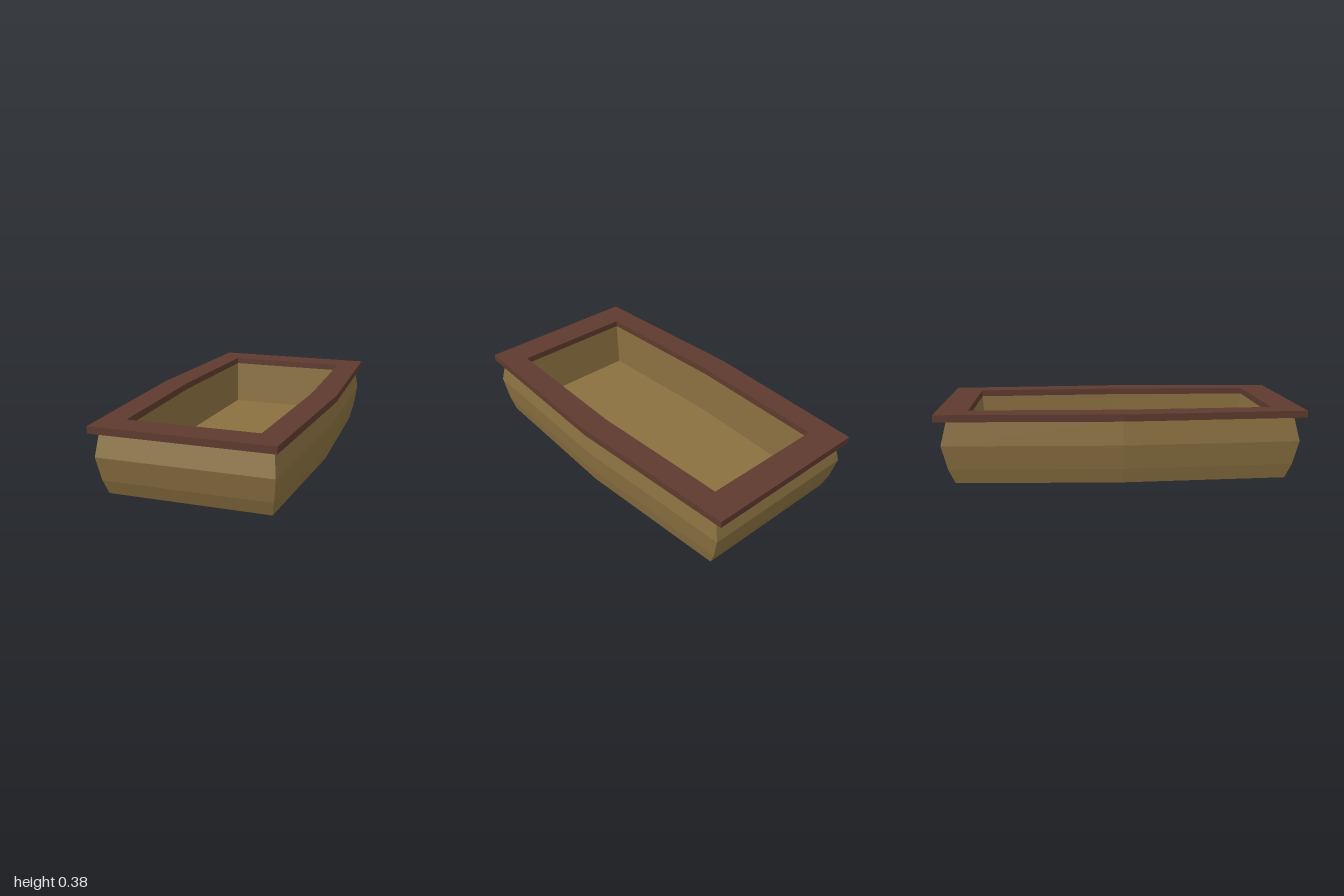
import * as THREE from 'three';

// Six-sided plan: half width at the ends, half width at the middle, half length, height
const hexRing = ([end, mid, len, y]) => [
  [mid, y, 0], [end, y, -len], [-end, y, -len],
  [-mid, y, 0], [-end, y, len], [end, y, len],
];

// Skins a list of levels; capped closes both ends, otherwise the last level joins the first
function loft(levels, capped) {
  const rings = levels.map(hexRing);
  const pos = [];
  const tri = (a, b, c) => pos.push(...a, ...b, ...c);
  const steps = capped ? rings.length - 1 : rings.length;
  for (let k = 0; k < steps; k++) {
    const lo = rings[k], hi = rings[(k + 1) % rings.length];
    for (let i = 0; i < 6; i++) {
      const j = (i + 1) % 6;
      tri(lo[i], lo[j], hi[j]);
      tri(lo[i], hi[j], hi[i]);
    }
  }
  if (capped) {
    const first = rings[0], last = rings[rings.length - 1];
    for (let i = 1; i < 5; i++) {
      tri(first[0], first[i + 1], first[i]);
      tri(last[0], last[i], last[i + 1]);
    }
  }
  const geo = new THREE.BufferGeometry();
  geo.setAttribute('position', new THREE.Float32BufferAttribute(pos, 3));
  geo.computeVertexNormals();
  return geo;
}

function part(name, geo, color) {
  const mesh = new THREE.Mesh(geo, new THREE.MeshStandardMaterial({ color, flatShading: true }));
  mesh.name = name;
  return mesh;
}

export function createModel() {
  const group = new THREE.Group();
  group.name = 'trough';

  // Basin: bulging outer wall, top lip, inner wall down to the floor
  group.add(part('basin', loft([
    [0.44, 0.484, 0.9, 0],
    [0.457, 0.502, 0.935, 0.08],
    [0.474, 0.52, 0.967, 0.212],
    [0.458, 0.503, 0.935, 0.346],
    [0.36, 0.39, 0.83, 0.346],
    [0.356, 0.386, 0.812, 0.08],
  ], true), 0x8a7040));

  // Rim: flat overhanging frame
  group.add(part('rim', loft([
    [0.49, 0.538, 1, 0.345],
    [0.49, 0.538, 1, 0.383],
    [0.36, 0.39, 0.83, 0.383],
    [0.36, 0.39, 0.83, 0.345],
  ], false), 0x5e3a2e));

  return group;
}
